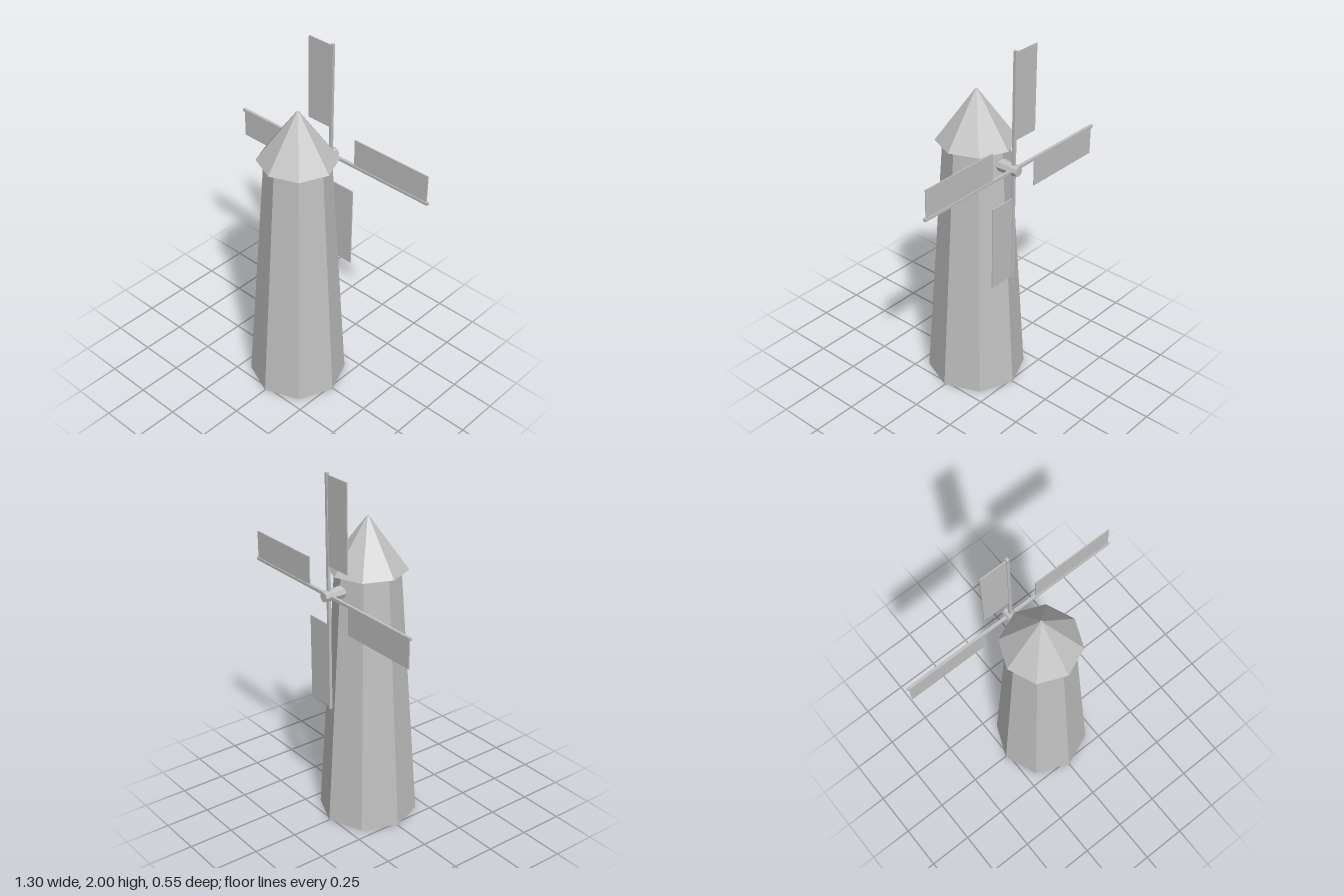
import * as THREE from 'three';

export function createModel() {
  const model = new THREE.Group();
  model.name = 'windmill';
  const grey = new THREE.MeshStandardMaterial({ color: 0xc0c0c0, flatShading: true });
  grey.name = 'plain grey';

  const add = (parent, name, geometry, x, y, z) => {
    const mesh = new THREE.Mesh(geometry, grey);
    mesh.name = name;
    mesh.position.set(x, y, z);
    parent.add(mesh);
    return mesh;
  };

  // Octagonal body and cap, corners on the axes
  const axisZ = 0.004;
  add(model, 'tower', new THREE.CylinderGeometry(0.175, 0.27, 1.44, 8), 0, 0.72, axisZ);
  add(model, 'roof', new THREE.CylinderGeometry(0.009, 0.215, 0.28, 8), 0, 1.58, axisZ);

  // Rotor on the back face
  const rotor = new THREE.Group();
  rotor.name = 'rotor';
  rotor.position.set(0, 1.35, -0.247);
  model.add(rotor);

  // Tapered hub, narrow end outward
  const hub = new THREE.CylinderGeometry(0.038, 0.028, 0.13, 8).rotateX(Math.PI / 2);
  add(rotor, 'hub', hub, 0, 0, 0.032);

  // Four arms, each with a sail on its trailing side
  for (let i = 0; i < 4; i++) {
    const blade = new THREE.Group();
    blade.name = 'blade' + (i + 1);
    blade.rotation.z = i * Math.PI / 2;
    add(blade, 'arm', new THREE.BoxGeometry(0.016, 0.65, 0.016), 0, 0.325, 0);
    add(blade, 'sail', new THREE.BoxGeometry(0.16, 0.476, 0.006), -0.08, 0.402, 0);
    rotor.add(blade);
  }
  return model;
}
